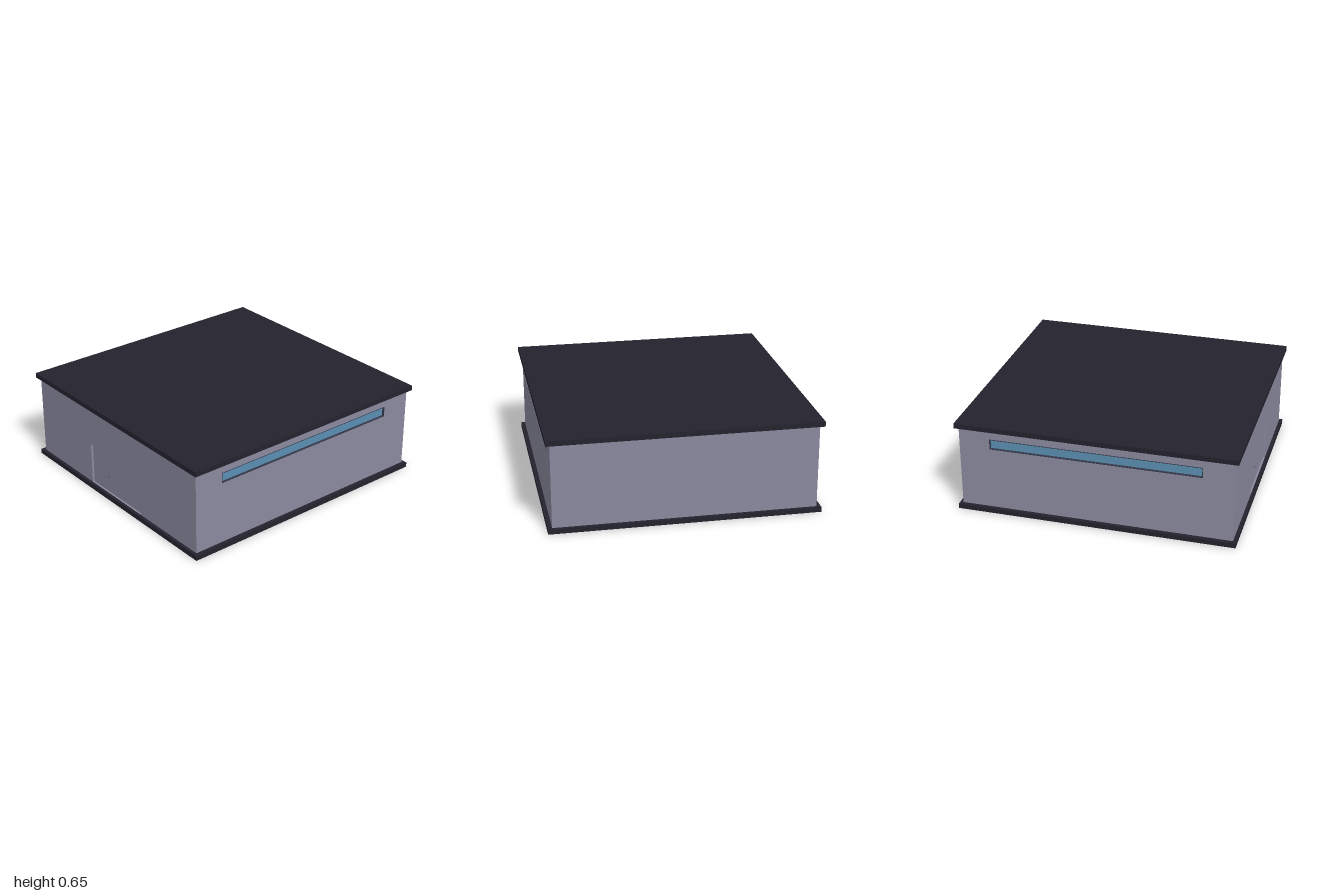
import * as THREE from 'three';

export function createModel() {
  const model = new THREE.Group();
  const house = new THREE.Group();
  house.name = 'house';
  house.rotation.y = 0.0355; // the building stands slightly turned
  model.add(house);

  const mat = (name, color) => {
    const m = new THREE.MeshStandardMaterial({ color });
    m.name = name;
    return m;
  };
  const wallMat = mat('wall grey', 0x8b8a9f);
  const slabMat = mat('slab dark', 0x24232e);
  const glassMat = mat('glass blue', 0x5b8fb3);
  const frameMat = mat('frame dark', 0x34384a);

  const add = (name, geo, material, x, y, z, parent = house) => {
    const mesh = new THREE.Mesh(geo, material);
    mesh.name = name;
    mesh.position.set(x, y, z);
    parent.add(mesh);
    return mesh;
  };
  const box = (name, w, h, d, material, x, y, z, parent) =>
    add(name, new THREE.BoxGeometry(w, h, d), material, x, y, z, parent);

  const HX = 0.893, HZ = 0.943; // half size of the walls
  const Y0 = 0.035, Y1 = 0.618, T = 0.03;

  // Floor and roof slabs
  box('floorSlab', 1.844, 0.034, 1.932, slabMat, 0, 0.018, 0);
  box('roofSlab', 1.844, 0.035, 1.932, slabMat, 0, 0.6355, 0);

  // Wall with a rectangular opening, outer face at local z = 0
  const rect = (C, x0, y0, x1, y1) => {
    const p = new C();
    p.moveTo(x0, y0);
    p.lineTo(x1, y0);
    p.lineTo(x1, y1);
    p.lineTo(x0, y1);
    p.closePath();
    return p;
  };
  const wallGeo = (half, hx, hy0, hy1) => {
    const shape = rect(THREE.Shape, -half, Y0, half, Y1);
    shape.holes.push(rect(THREE.Path, -hx, hy0, hx, hy1));
    return new THREE.ExtrudeGeometry(shape, { depth: T, bevelEnabled: false }).translate(0, 0, -T);
  };

  // Front wall with a recessed door
  const front = new THREE.Group();
  front.name = 'front';
  front.position.z = HZ;
  house.add(front);
  add('frontWall', wallGeo(HX, 0.283, Y0 + 0.0005, 0.334), wallMat, 0, 0, 0, front);
  box('doorGap', 0.57, 0.3, 0.006, frameMat, 0, 0.185, -0.022, front);
  box('door', 0.558, 0.296, 0.01, wallMat, 0, 0.183, -0.018, front);
  box('doorHandle', 0.006, 0.006, 0.008, frameMat, -0.093, 0.155, -0.011, front);

  // Back wall
  box('backWall', HX * 2, Y1 - Y0, T, wallMat, 0, (Y0 + Y1) / 2, -HZ + T / 2);

  // Side walls, each with a long framed strip window
  for (const s of [-1, 1]) {
    const side = new THREE.Group();
    side.name = s > 0 ? 'leftSide' : 'rightSide';
    side.position.x = s * HX;
    side.rotation.y = s * Math.PI / 2;
    house.add(side);
    const w = 0.73, b = 0.476, t = 0.552, f = 0.006;
    add('sideWall', wallGeo(HZ, w, b, t), wallMat, 0, 0, 0, side);
    box('windowGlass', w * 2, t - b, 0.006, glassMat, 0, (b + t) / 2, -0.018, side);
    for (const e of [-1, 1]) {
      box('frameRail', w * 2, f, 0.017, frameMat, 0, (b + t) / 2 + e * ((t - b - f) / 2), -0.01, side);
      box('framePost', f, t - b, 0.017, frameMat, e * (w - f / 2), (b + t) / 2, -0.01, side);
    }
  }

  // Fine seams of the room plan on the underside
  const seams = (name, pts) => {
    for (let i = 1; i < pts.length; i++) {
      const [x0, z0] = pts[i - 1], [x1, z1] = pts[i];
      box(name, Math.abs(x1 - x0) + 0.003, 0.001, Math.abs(z1 - z0) + 0.003, wallMat,
        (x0 + x1) / 2, 0.0008, (z0 + z1) / 2);
    }
  };
  for (const inset of [0, 0.025]) {
    const x = HX - inset, z = HZ - inset;
    seams('wallSeam', [[-x, -z], [x, -z], [x, z], [-x, z], [-x, -z]]);
  }
  seams('roomSeam', [
    [0.81, -0.71], [0.12, -0.71], [0.12, -0.31], [0.31, -0.31], [0.31, 0.23],
    [-0.3, 0.23], [-0.3, -0.31], [-0.09, -0.31], [-0.09, -0.71], [-0.75, -0.71],
  ]);

  return model;
}
